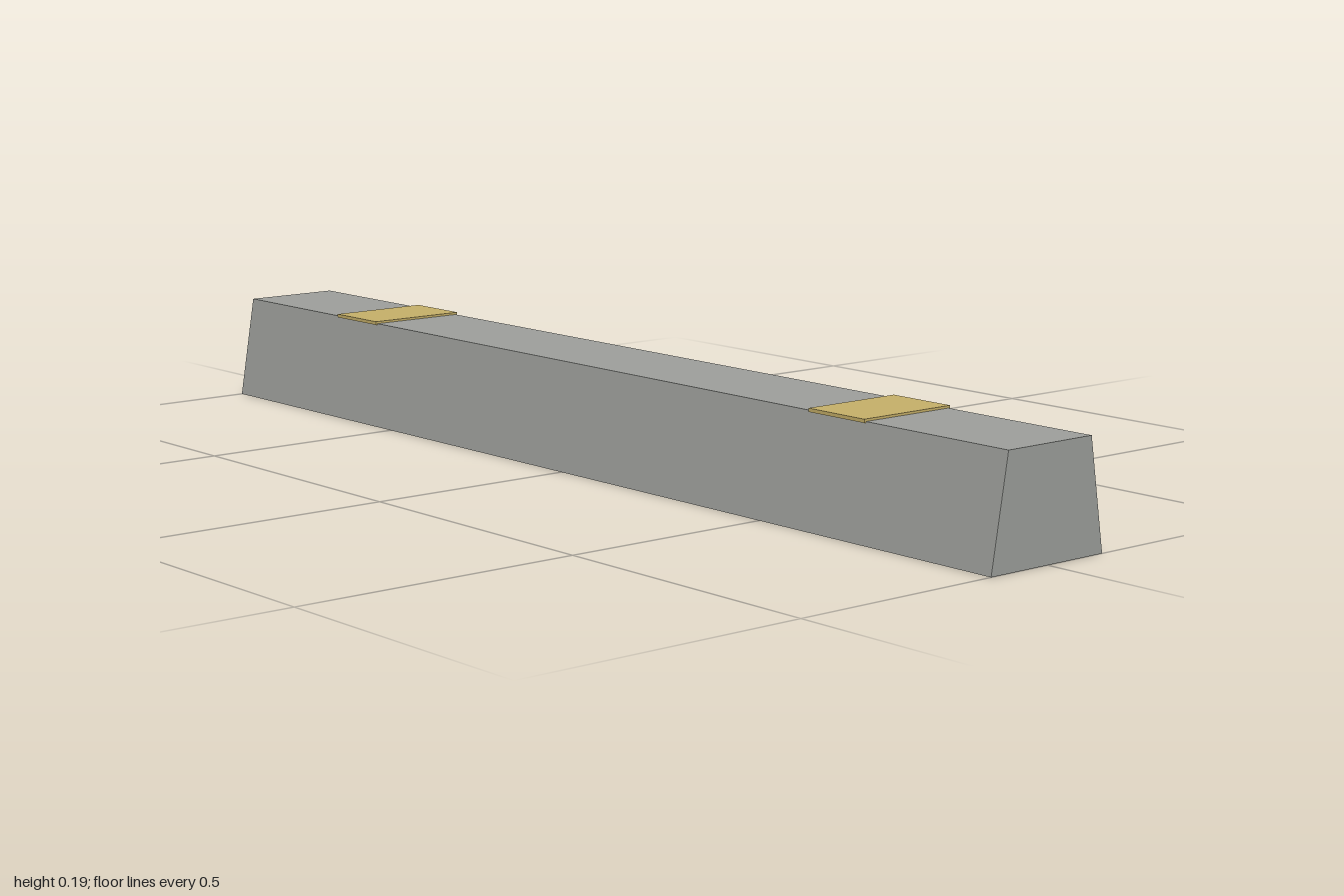
import * as THREE from 'three';

export function createModel() {
  const group = new THREE.Group();
  const concrete = new THREE.MeshStandardMaterial({ color: 0x9fa19d });
  concrete.name = 'concrete grey';
  const yellow = new THREE.MeshStandardMaterial({ color: 0xc8b26a });
  yellow.name = 'marker yellow';

  // Trapezoid section, swept along x
  const section = new THREE.Shape([
    new THREE.Vector2(-0.121, 0),
    new THREE.Vector2(0.121, 0),
    new THREE.Vector2(0.09, 0.185),
    new THREE.Vector2(-0.09, 0.185),
  ]);
  const barGeometry = new THREE.ExtrudeGeometry(section, { depth: 2, bevelEnabled: false });
  barGeometry.translate(0, 0, -1);
  barGeometry.rotateY(Math.PI / 2);
  const bar = new THREE.Mesh(barGeometry, concrete);
  bar.name = 'barrierBlock';
  group.add(bar);

  // Thin marker plates across the top, slightly overhanging
  const plateGeometry = new THREE.BoxGeometry(0.124, 0.006, 0.187);
  for (const side of [-1, 1]) {
    const plate = new THREE.Mesh(plateGeometry, yellow);
    plate.name = side > 0 ? 'leftMarkerPlate' : 'rightMarkerPlate';
    plate.position.set(side * 0.643, 0.186, 0);
    group.add(plate);
  }
  return group;
}
